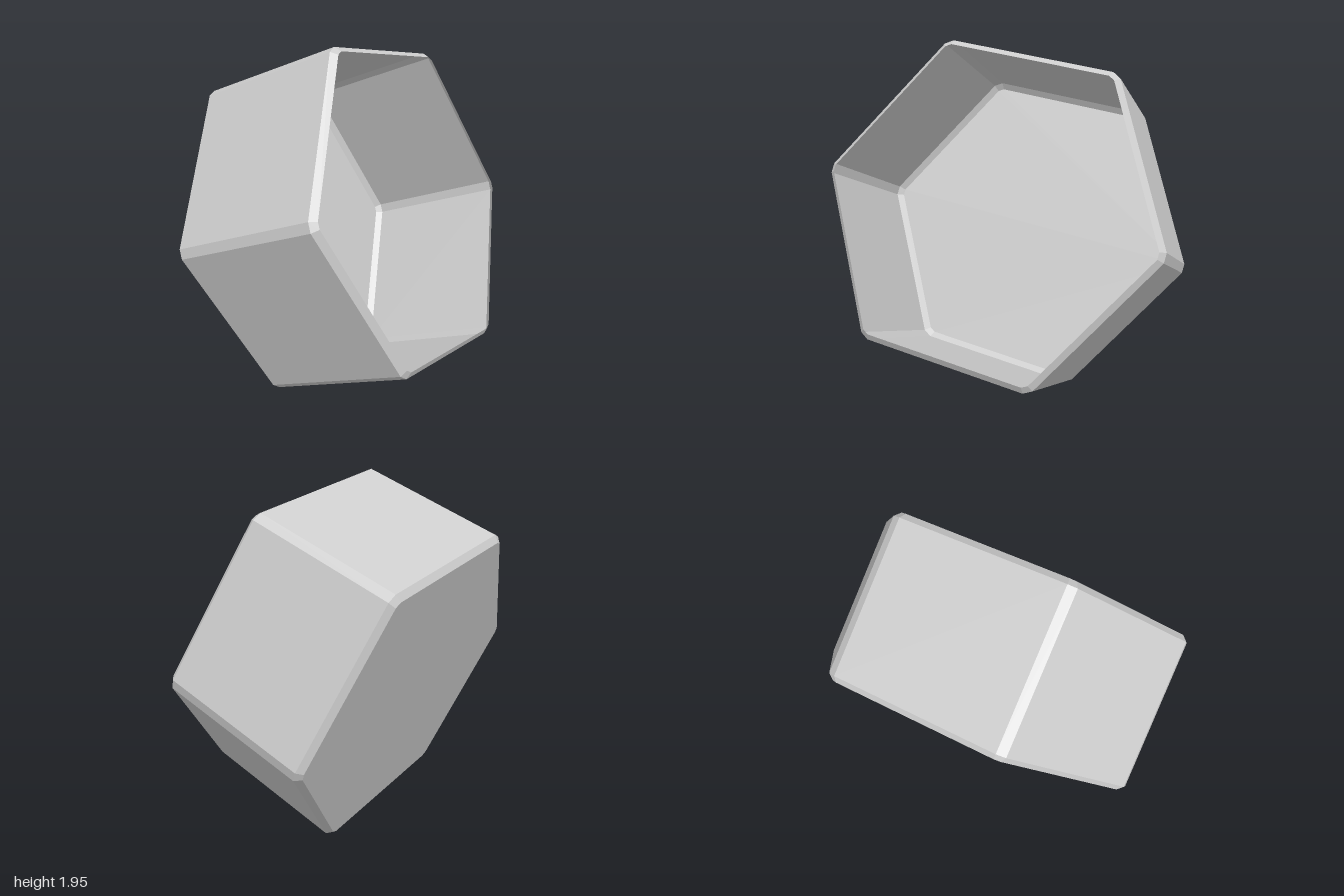
import * as THREE from 'three';

const R = 0.95;          // hexagon corner radius before bevelling
const BEVEL = 0.03;
const HALF = 0.44;       // half depth along the axis

// Hexagon with its corners cut off, inset evenly, as a 12-point ring
function ring(inset, z) {
  const apothem = R * Math.cos(Math.PI / 6);
  const halfSide = R / 2 - BEVEL - inset * Math.tan(Math.PI / 12);
  const pts = [];
  for (let i = 0; i < 6; i++) {
    const t = (i + 0.5) * Math.PI / 3;
    for (const s of [-1, 1]) {
      const r = apothem - inset;
      pts.push([
        Math.cos(t) * r - Math.sin(t) * halfSide * s,
        Math.sin(t) * r + Math.cos(t) * halfSide * s,
        z,
      ]);
    }
  }
  return pts;
}

// Faces between two rings; b lies further along +z than a
function band(a, b) {
  const v = [];
  for (let i = 0; i < a.length; i++) {
    const j = (i + 1) % a.length;
    v.push(...a[i], ...a[j], ...b[j], ...a[i], ...b[j], ...b[i]);
  }
  return v;
}

function mesh(name, vertices, material) {
  const g = new THREE.BufferGeometry();
  g.setAttribute('position', new THREE.Float32BufferAttribute(vertices, 3));
  g.computeVertexNormals();
  const m = new THREE.Mesh(g, material);
  m.name = name;
  return m;
}

export function createModel() {
  const group = new THREE.Group();
  group.name = 'hexagonalTray';
  const grey = new THREE.MeshStandardMaterial({
    color: 0xcccccc, side: THREE.DoubleSide, flatShading: true,
  });
  grey.name = 'light grey';

  const backCap = ring(BEVEL, -HALF);
  const backEdge = ring(0, -HALF + BEVEL);
  const frontEdge = ring(0, HALF - BEVEL);
  const frontRim = ring(BEVEL, HALF);

  // Closed back panel, facing outwards
  const floor = [];
  for (let i = 1; i < backCap.length - 1; i++) {
    floor.push(...backCap[0], ...backCap[i + 1], ...backCap[i]);
  }

  const tray = new THREE.Group();
  tray.name = 'tray';
  tray.add(
    mesh('floor', floor, grey),
    mesh('floorBevel', band(backCap, backEdge), grey),
    mesh('walls', band(backEdge, frontEdge), grey),
    mesh('rimBevel', band(frontEdge, frontRim), grey),
  );

  // Tilt: open side looks forward, upward and slightly to +x
  const axis = new THREE.Vector3(0.215, 0.354, 0.91).normalize();
  const corner = new THREE.Vector3(0.975, -0.155, -0.16);
  corner.addScaledVector(axis, -corner.dot(axis)).normalize();
  const side = new THREE.Vector3().crossVectors(axis, corner);
  tray.quaternion.setFromRotationMatrix(new THREE.Matrix4().makeBasis(corner, side, axis));

  // Stand on y = 0
  tray.updateMatrixWorld(true);
  tray.position.y = -new THREE.Box3().setFromObject(tray, true).min.y;
  group.add(tray);
  return group;
}
